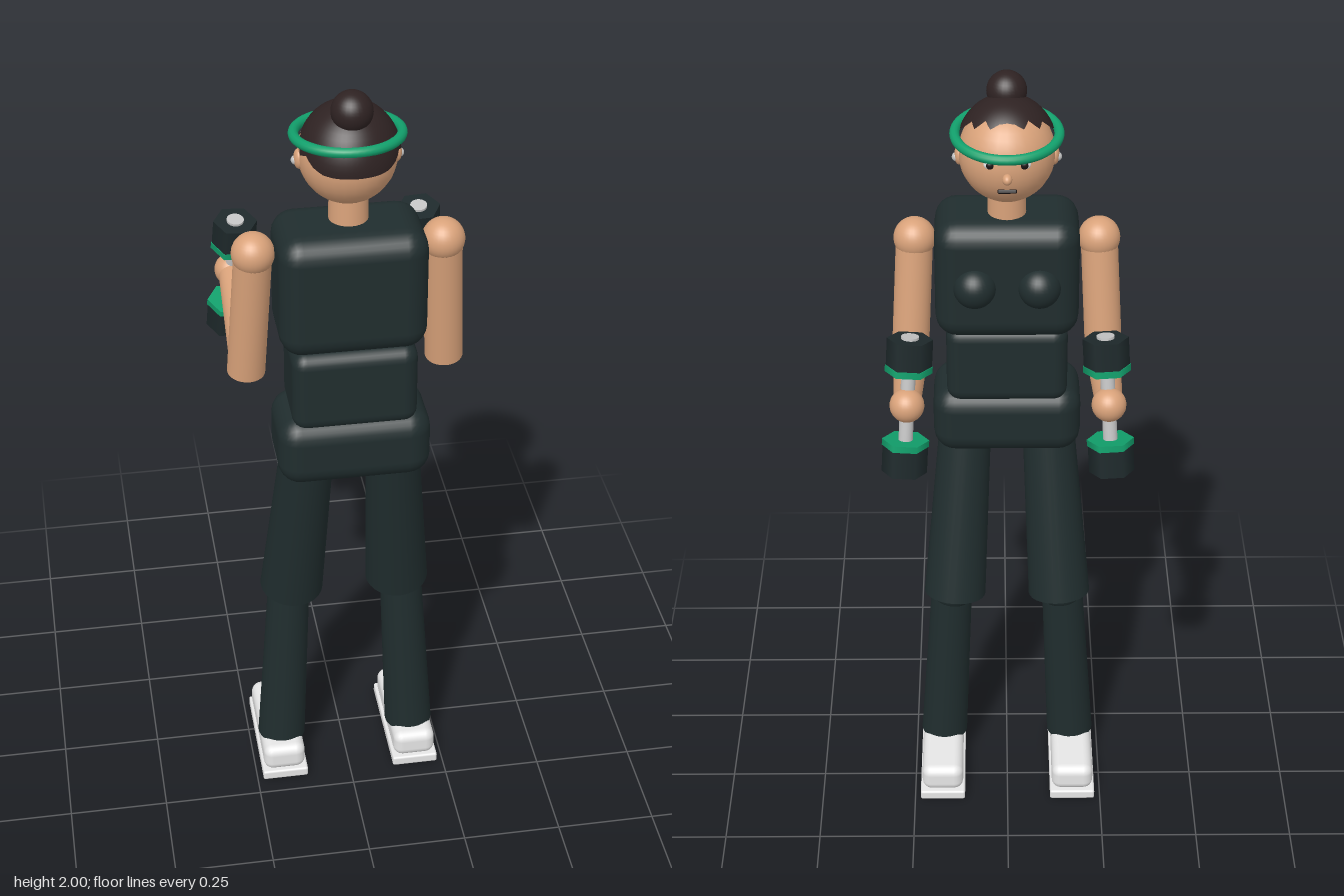
import * as THREE from 'three';
import { RoundedBoxGeometry } from 'three/addons/geometries/RoundedBoxGeometry.js';
import { ParametricGeometry } from 'three/addons/geometries/ParametricGeometry.js';

const material = (name, color, side = THREE.FrontSide) => {
  const m = new THREE.MeshStandardMaterial({ color, side });
  m.name = name;
  return m;
};

export function createModel() {
  const skin = material('skin', 0xd9a27a);
  const cloth = material('sportswear', 0x202d2e);
  const hairMat = material('hair', 0x2e2222, THREE.DoubleSide);
  const green = material('green', 0x12a06c);
  const iron = material('iron', 0x1e292b);
  const steel = material('steel', 0xc4c4c4);
  const white = material('white', 0xe6e6e6);
  const dark = material('dark', 0x1a1414);

  const model = new THREE.Group();
  model.name = 'athlete';

  const add = (parent, name, geometry, mat, x = 0, y = 0, z = 0) => {
    const mesh = new THREE.Mesh(geometry, mat);
    mesh.name = name;
    mesh.position.set(x, y, z);
    parent.add(mesh);
    return mesh;
  };
  const ball = (parent, name, r, mat, x, y, z, sx = 1, sy = 1, sz = 1) => {
    const mesh = add(parent, name, new THREE.SphereGeometry(r, 28, 20), mat, x, y, z);
    mesh.scale.set(sx, sy, sz);
    return mesh;
  };
  const box = (parent, name, w, h, d, r, mat, x, y, z) =>
    add(parent, name, new RoundedBoxGeometry(w, h, d, 3, r), mat, x, y, z);
  // tapered cylinder between two points
  const up = new THREE.Vector3(0, 1, 0);
  const limb = (parent, name, a, b, ra, rb, mat) => {
    const from = new THREE.Vector3(...a), to = new THREE.Vector3(...b);
    const dir = to.clone().sub(from);
    const mesh = add(parent, name, new THREE.CylinderGeometry(rb, ra, dir.length(), 28), mat);
    mesh.position.copy(from).add(to).multiplyScalar(0.5);
    mesh.quaternion.setFromUnitVectors(up, dir.normalize());
    return mesh;
  };

  // torso
  box(model, 'chest', 0.35, 0.31, 0.225, 0.055, cloth, 0, 1.505, 0.152);
  box(model, 'waist', 0.3, 0.21, 0.2, 0.035, cloth, 0, 1.26, 0.17);
  box(model, 'hips', 0.37, 0.18, 0.215, 0.055, cloth, 0, 1.09, 0.175);
  limb(model, 'neck', [0, 1.62, 0.138], [0, 1.75, 0.135], 0.047, 0.045, skin);

  // head and face, looking towards -z
  ball(model, 'head', 0.115, skin, 0, 1.822, 0.126, 1, 1.03, 1);
  ball(model, 'nose', 0.013, skin, 0, 1.808, 0.008, 0.9, 1, 1.2);
  const mouth = box(model, 'mouth', 0.045, 0.01, 0.01, 0.003, dark, 0, 1.77, 0.023);
  mouth.rotation.x = 0.4;

  // hair cap with a jagged hairline: low at the nape, high over the forehead
  const hairline = [1.6, 1.6, 1.6, 1.58, 1.5, 1.36, 1.44, 1.2, 1.08, 0.86, 0.95, 0.72, 0.86, 0.74, 0.71];
  const cap = new ParametricGeometry((u, v, target) => {
    const a = (u - 0.5) * 2 * Math.PI;
    const t = Math.abs(a) / Math.PI * (hairline.length - 1);
    const i = Math.min(Math.floor(t), hairline.length - 2);
    const theta = v * THREE.MathUtils.lerp(hairline[i], hairline[i + 1], t - i);
    target.set(
      0.119 * Math.sin(theta) * Math.sin(a),
      1.828 + 0.126 * Math.cos(theta),
      0.143 + 0.121 * Math.sin(theta) * Math.cos(a));
  }, 56, 14);
  add(model, 'hair', cap, hairMat);
  ball(model, 'hairBun', 0.048, hairMat, 0, 1.952, 0.184);

  // headband
  const band = add(model, 'headband', new THREE.TorusGeometry(0.123, 0.012, 12, 56), green, 0, 1.871, 0.125);
  band.rotation.x = Math.PI / 2 - 0.09;

  for (const s of [-1, 1]) {
    const side = new THREE.Group();
    side.name = s > 0 ? 'leftSide' : 'rightSide';
    model.add(side);

    // face details and ears
    ball(side, 'eye', 0.015, white, s * 0.04, 1.838, 0.026, 1, 0.8, 0.6);
    ball(side, 'pupil', 0.009, dark, s * 0.04, 1.838, 0.019, 1, 1, 0.6);
    ball(side, 'ear', 0.022, skin, s * 0.112, 1.814, 0.127, 0.55, 1.1, 0.9);
    ball(side, 'earring', 0.011, steel, s * 0.119, 1.81, 0.125);
    ball(side, 'bust', 0.052, cloth, s * 0.078, 1.5, 0.05);

    // arm
    const elbow = [s * 0.241, 1.24, 0.1], hand = [s * 0.237, 1.335, -0.217];
    ball(side, 'shoulder', 0.051, skin, s * 0.223, 1.587, 0.143);
    limb(side, 'upperArm', [s * 0.223, 1.587, 0.143], elbow, 0.045, 0.046, skin);
    limb(side, 'forearm', [s * 0.239, 1.272, 0.115], hand, 0.043, 0.032, skin);
    ball(side, 'hand', 0.041, skin, ...hand);

    // dumbbell: hexagonal weights on a bar, leaning slightly
    const bell = new THREE.Group();
    bell.name = 'dumbbell';
    bell.position.set(s * 0.237, 1.328, -0.209);
    bell.quaternion.setFromUnitVectors(up, new THREE.Vector3(-s * 0.06, 1, 0.19).normalize());
    side.add(bell);
    add(bell, 'bar', new THREE.CylinderGeometry(0.017, 0.017, 0.3, 20), steel);
    for (const e of [-1, 1]) {
      const weight = add(bell, 'weight', new THREE.CylinderGeometry(0.054, 0.054, 0.068, 6), iron, 0, e * 0.134, 0);
      const ring = add(bell, 'weightRing', new THREE.CylinderGeometry(0.056, 0.056, 0.016, 6), green, 0, e * 0.093, 0);
      weight.rotation.y = ring.rotation.y = Math.PI / 6;
      add(bell, 'endCap', new THREE.CylinderGeometry(0.021, 0.021, 0.008, 24), steel, 0, e * 0.17, 0);
    }

    // leg
    limb(side, 'thigh', [s * 0.104, 1.06, 0.172], [s * 0.137, 0.565, 0.084], 0.065, 0.08, cloth);
    ball(side, 'knee', 0.06, cloth, s * 0.142, 0.575, 0.092);
    limb(side, 'shin', [s * 0.145, 0.58, 0.094], [s * 0.172, 0.085, 0.102], 0.053, 0.062, cloth);

    // shoe
    box(side, 'shoe', 0.11, 0.075, 0.295, 0.025, white, s * 0.175, 0.058, 0.05);
    box(side, 'sole', 0.12, 0.027, 0.312, 0.006, white, s * 0.175, 0.0135, 0.049);
  }
  return model;
}
